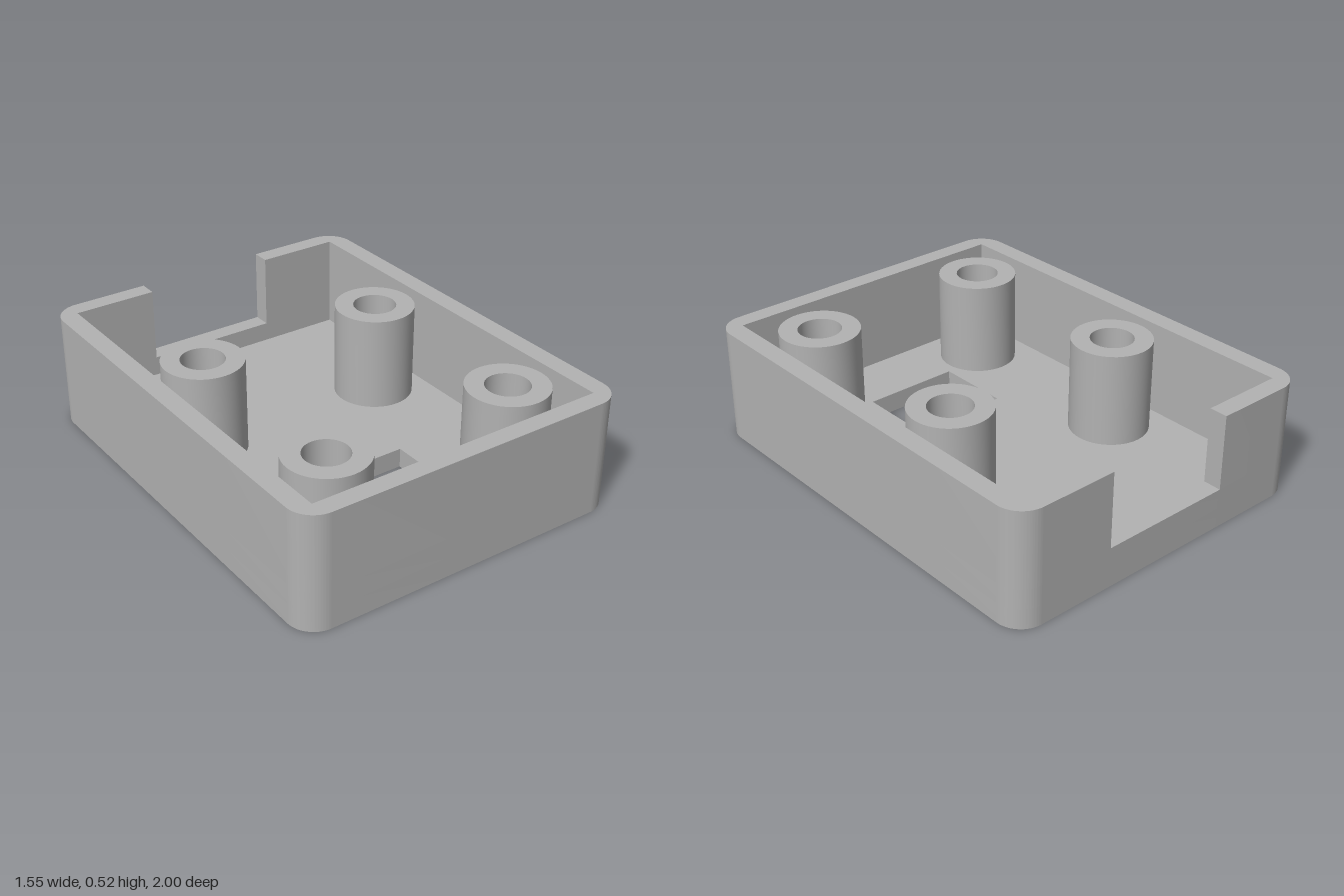
import * as THREE from 'three';
import { toCreasedNormals } from 'three/addons/utils/BufferGeometryUtils.js';

const HX = 0.775, HZ = 1, R = 0.12;        // outer half sizes and corner radius
const IX = 0.687, IZ = 0.917;              // inner half sizes
const FLOOR = 0.09, SILL = 0.18, TOP = 0.52;
const NX = 0.308;                          // half width of the rear notch
const POST_R = 0.18, HOLE_R = 0.097;
const POSTS = [[-0.45, -0.23], [0.45, -0.23], [-0.45, 0.67], [0.45, 0.67]];

// Plans are drawn in x and -z, then extruded upwards from y0 to y1
function slab(name, shape, y0, y1, material) {
  const geo = new THREE.ExtrudeGeometry(shape, { depth: y1 - y0, bevelEnabled: false, curveSegments: 24 });
  geo.rotateX(-Math.PI / 2);
  geo.translate(0, y0, 0);
  const mesh = new THREE.Mesh(toCreasedNormals(geo, 0.6), material);
  mesh.name = name;
  return mesh;
}

function rectPath(x0, x1, z0, z1) {
  return new THREE.Path([[x0, -z0], [x1, -z0], [x1, -z1], [x0, -z1]].map(p => new THREE.Vector2(...p))).closePath();
}

function circlePath(x, z, r, PathType = THREE.Path) {
  const path = new PathType();
  path.absarc(x, -z, r, 0, Math.PI * 2, false);
  return path;
}

// Rounded outer outline, starting and ending at the rear edge
function outline(startX, endX) {
  const s = new THREE.Shape();
  s.moveTo(startX, HZ);
  s.lineTo(-HX + R, HZ);
  s.absarc(-HX + R, HZ - R, R, Math.PI / 2, Math.PI, false);
  s.absarc(-HX + R, -HZ + R, R, Math.PI, Math.PI * 1.5, false);
  s.absarc(HX - R, -HZ + R, R, -Math.PI / 2, 0, false);
  s.absarc(HX - R, HZ - R, R, 0, Math.PI / 2, false);
  s.lineTo(endX, HZ);
  return s;
}

export function createModel() {
  const group = new THREE.Group();
  group.name = 'enclosure';
  const grey = new THREE.MeshStandardMaterial({ color: 0xb2b2b2 });
  grey.name = 'grey plastic';

  // Floor with a rectangular window and four screw holes
  const floor = outline(0, 0);
  floor.holes.push(rectPath(-0.228, 0.223, 0.27, 0.62));
  for (const [x, z] of POSTS) floor.holes.push(circlePath(x, z, HOLE_R));
  group.add(slab('floor', floor, 0, FLOOR, grey));

  // Closed ring of wall up to the notch sill
  const ring = outline(0, 0);
  ring.holes.push(rectPath(-IX, IX, -IZ, IZ));
  group.add(slab('lowerWall', ring, FLOOR, SILL, grey));

  // Upper wall, open at the rear notch
  const wall = outline(-NX, NX);
  for (const [x, y] of [[NX, IZ], [IX, IZ], [IX, -IZ], [-IX, -IZ], [-IX, IZ], [-NX, IZ]]) wall.lineTo(x, y);
  wall.closePath();
  group.add(slab('upperWall', wall, SILL, TOP, grey));

  // Hollow mounting posts
  POSTS.forEach(([x, z], i) => {
    const post = circlePath(x, z, POST_R, THREE.Shape);
    post.holes.push(circlePath(x, z, HOLE_R));
    group.add(slab('mountingPost' + (i + 1), post, FLOOR, TOP, grey));
  });

  return group;
}
